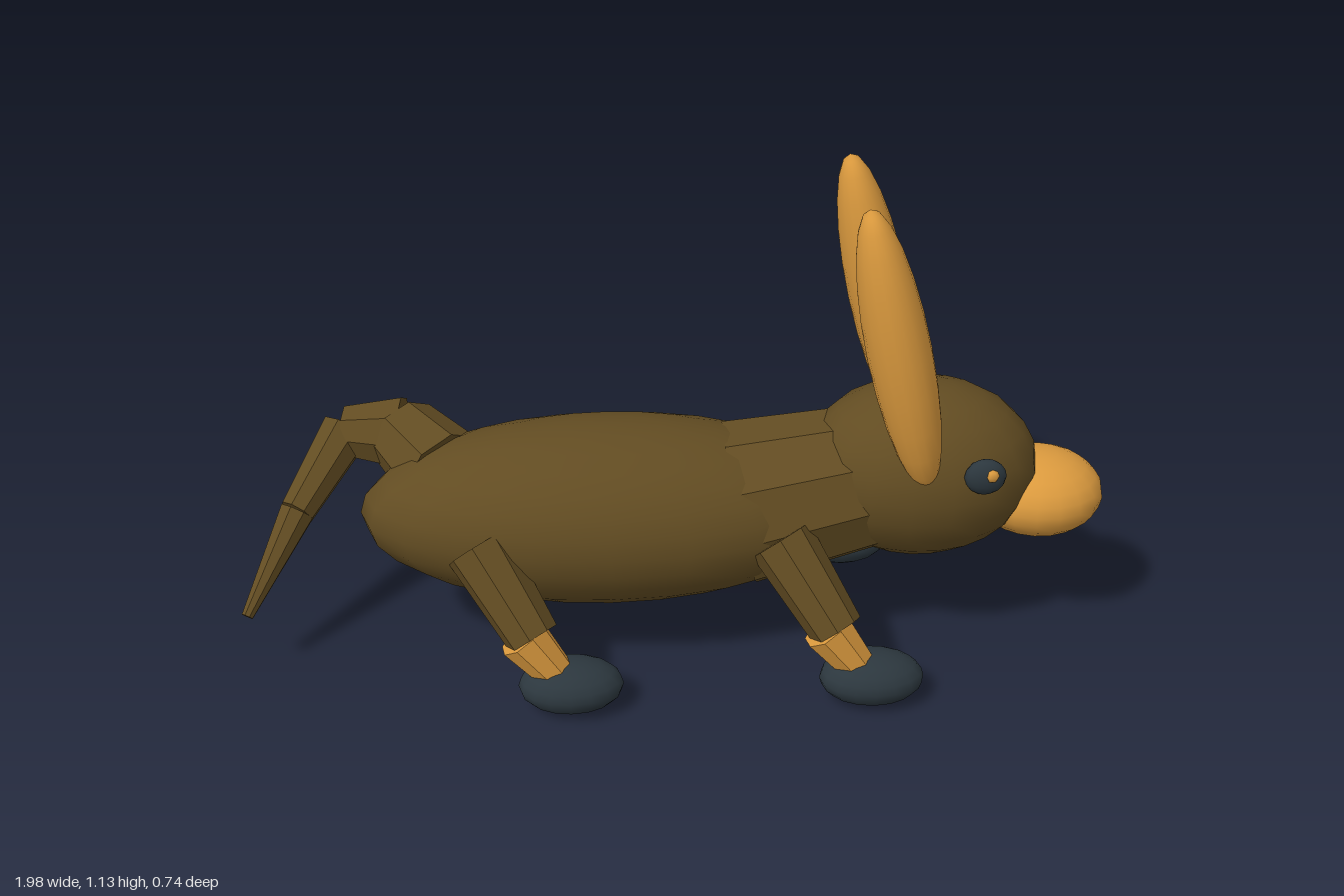
import * as THREE from 'three';

const mat = (name, color, flat = false) => {
  const m = new THREE.MeshStandardMaterial({ color, flatShading: flat });
  m.name = name;
  return m;
};

export function createModel() {
  const model = new THREE.Group();
  model.name = 'longEaredAnimal';
  const brown = mat('brown fur', 0x624c22);
  const tan = mat('tan fur', 0xdb9a3e);
  const dark = mat('dark slate', 0x2c373e);

  const add = (name, geometry, material) => {
    const mesh = new THREE.Mesh(geometry, material);
    mesh.name = name;
    model.add(mesh);
    return mesh;
  };

  // smooth ellipsoid at a position with three radii
  const ellipsoid = (name, material, pos, radii, w = 18, h = 12) => {
    const mesh = add(name, new THREE.SphereGeometry(1, w, h), material);
    mesh.position.set(...pos);
    mesh.scale.set(...radii);
    return mesh;
  };

  // faceted tapered limb between two points
  const limb = (name, material, from, to, r0, r1, sides = 8) => {
    const a = new THREE.Vector3(...from), b = new THREE.Vector3(...to);
    const dir = b.clone().sub(a);
    const geo = new THREE.CylinderGeometry(r1, r0, dir.length(), sides).toNonIndexed();
    geo.computeVertexNormals();
    const mesh = add(name, geo, material);
    mesh.position.copy(a).add(b).multiplyScalar(0.5);
    mesh.quaternion.setFromUnitVectors(new THREE.Vector3(0, 1, 0), dir.normalize());
    return mesh;
  };

  // trunk, neck and head
  ellipsoid('body', brown, [-0.15, 0.348, 0], [0.57, 0.213, 0.24], 20, 14);
  limb('neck', brown, [0.15, 0.35, 0], [0.47, 0.42, 0], 0.195, 0.165, 10);
  ellipsoid('head', brown, [0.56, 0.442, 0], [0.272, 0.21, 0.2]);
  ellipsoid('snout', tan, [0.84, 0.367, 0], [0.152, 0.098, 0.137]);

  for (const s of [1, -1]) {
    const side = s > 0 ? 'Near' : 'Far';

    // upright ears, leaning back
    const ear = ellipsoid('ear' + side, tan, [0.472, 0.805, s * 0.16], [0.07, 0.342, 0.081]);
    ear.rotation.z = 0.235;

    // eyes with a small glint
    ellipsoid('eye' + side, dark, [0.675, 0.51, s * 0.18], [0.047, 0.043, 0.024], 12, 8);
    ellipsoid('glint' + side, tan, [0.686, 0.521, s * 0.198], [0.016, 0.016, 0.012], 6, 4);

    // front and hind legs share one shape
    for (const [pair, x] of [['front', 0.43], ['hind', -0.245]]) {
      limb(pair + 'UpperLeg' + side, brown,
        [x - 0.2, 0.35, s * 0.165], [x - 0.08, 0.18, s * 0.28], 0.075, 0.06);
      limb(pair + 'LowerLeg' + side, tan,
        [x - 0.105, 0.19, s * 0.282], [x - 0.02, 0.075, s * 0.29], 0.058, 0.04);
      ellipsoid(pair + 'Foot' + side, dark, [x, 0.063, s * 0.292], [0.118, 0.06, 0.08], 16, 10);
    }
  }

  // curled tail of tapering segments: x, y, z, start radius, end radius
  const tail = [
    [-0.53, 0.42, -0.05, 0.11, 0.09],
    [-0.63, 0.46, -0.17, 0.088, 0.062],
    [-0.765, 0.46, -0.185, 0.06, 0.042],
    [-0.87, 0.335, -0.03, 0.042, 0.014],
    [-0.978, 0.16, 0.135],
  ];
  for (let i = 0; i < tail.length - 1; i++) {
    limb('tailSegment' + (i + 1), brown, tail[i].slice(0, 3), tail[i + 1].slice(0, 3), tail[i][3], tail[i][4]);
  }

  return model;
}
